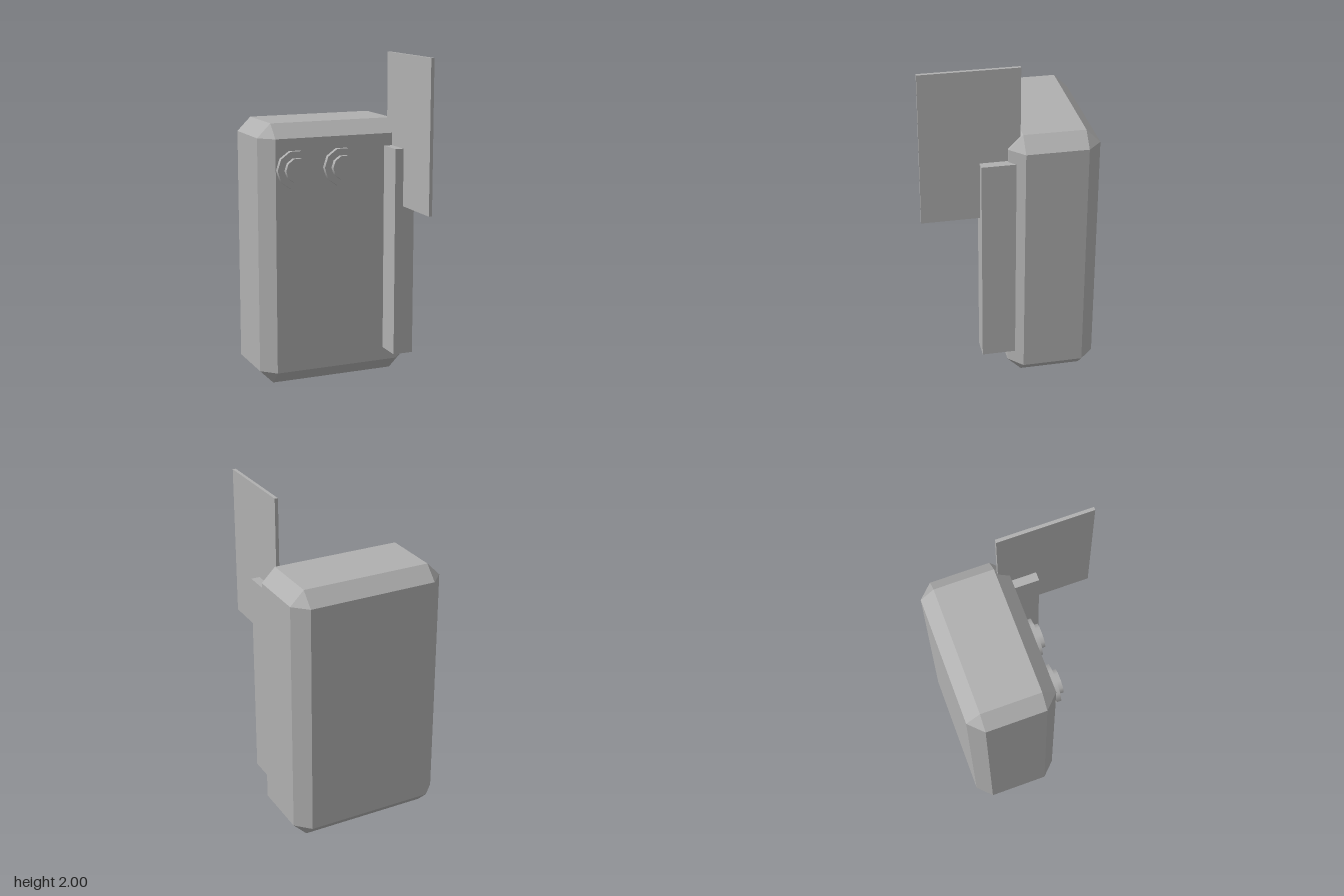
import * as THREE from 'three';
import { ConvexGeometry } from 'three/addons/geometries/ConvexGeometry.js';

// Box with every edge and corner cut at 45 degrees
function chamferedBox(w, h, d, c) {
  const half = [w / 2, h / 2, d / 2];
  const points = [];
  for (const sx of [-1, 1]) for (const sy of [-1, 1]) for (const sz of [-1, 1]) {
    const sign = [sx, sy, sz];
    for (let axis = 0; axis < 3; axis++) {
      points.push(new THREE.Vector3(...half.map((v, i) => sign[i] * (i === axis ? v : v - c))));
    }
  }
  return new ConvexGeometry(points);
}

export function createModel() {
  const group = new THREE.Group();
  const grey = new THREE.MeshStandardMaterial({ color: 0xb0b0b0 });
  grey.name = 'plain grey';

  function add(name, geometry, x, y, z, parent = group) {
    const mesh = new THREE.Mesh(geometry, grey);
    mesh.name = name;
    mesh.position.set(x, y, z);
    parent.add(mesh);
    return mesh;
  }

  // Main casing
  add('body', chamferedBox(0.955, 1.6, 0.53, 0.084), 0, 0.8, -0.25);

  // Upright rail on the front and the thin blade standing in it
  add('rail', new THREE.BoxGeometry(0.126, 1.275, 0.2), 0.37, 0.8025, 0.075);
  add('blade', new THREE.BoxGeometry(0.02, 0.91, 0.572), 0.37, 1.545, 0.229);

  // Two stepped ten-sided knobs
  const disc = (r) => new THREE.CylinderGeometry(r, r, 0.03, 10, 1, false, Math.PI / 2).rotateX(Math.PI / 2);
  for (const [name, x] of [['rightKnob', -0.278], ['leftKnob', 0.02]]) {
    const knob = new THREE.Group();
    knob.name = name;
    knob.position.set(x, 1.333, 0);
    add('knobBase', disc(0.116), 0, 0, 0.035, knob);
    add('knobCap', disc(0.074), 0, 0, 0.065, knob);
    group.add(knob);
  }
  return group;
}
